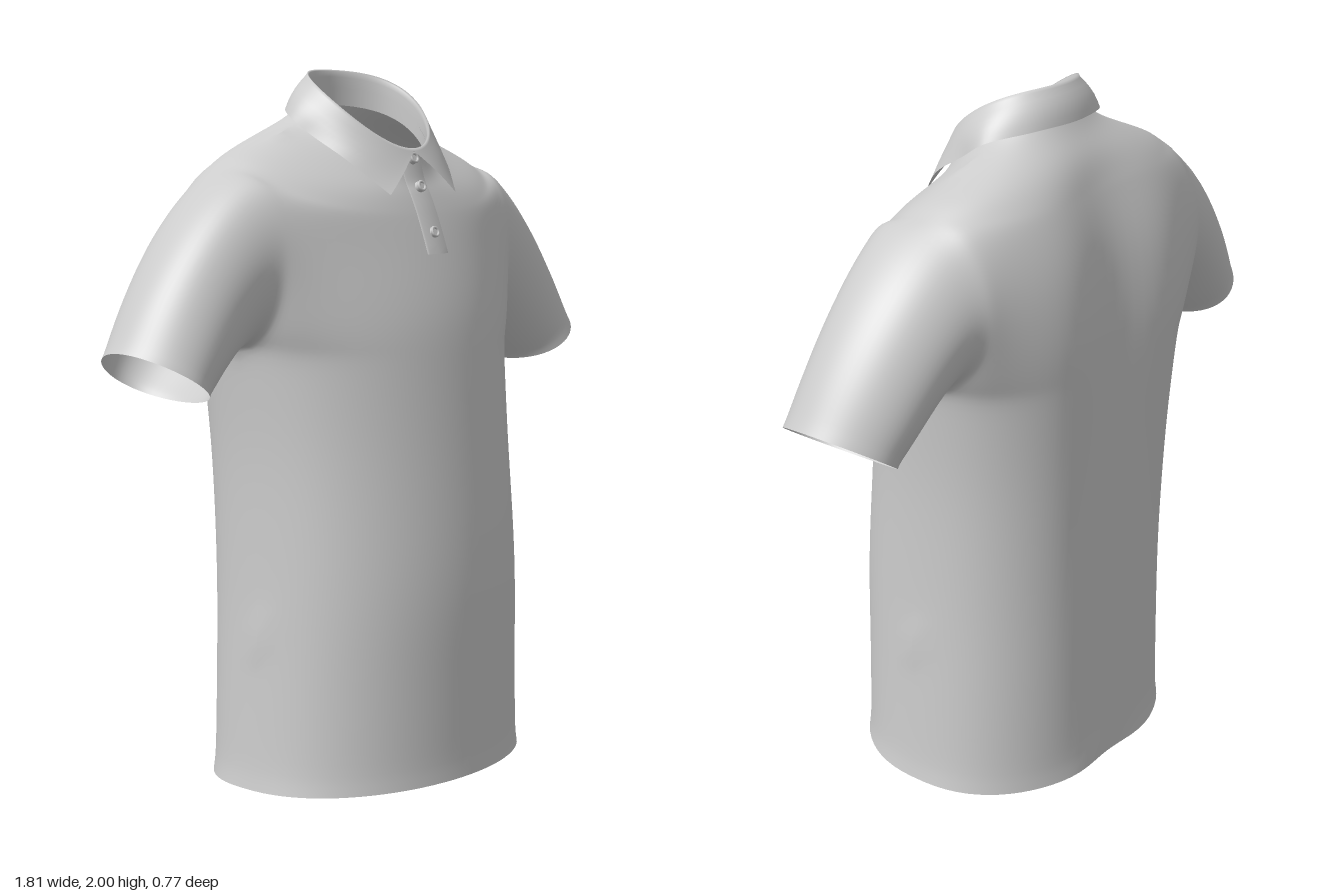
import * as THREE from 'three';
import { mergeGeometries, mergeVertices } from 'three/addons/utils/BufferGeometryUtils.js';

const V = (x, y, z) => new THREE.Vector3(x, y, z);
const cloth = new THREE.MeshStandardMaterial({ color: 0xcccccc, side: THREE.DoubleSide });

// Torso sections from hem to neck:
// side y, half width, side z, front y, front z, back y, back z, depth of the spine fold
const SECTIONS = [
  [0.015, 0.485, 0, 0.03, 0.387, 0, -0.385, 0.03],
  [0.3, 0.472, 0, 0.3, 0.39, 0.3, -0.387, 0.04],
  [0.6, 0.462, 0, 0.6, 0.392, 0.6, -0.393, 0.05],
  [0.95, 0.462, -0.02, 0.95, 0.358, 0.95, -0.408, 0.07],
  [1.25, 0.485, -0.05, 1.22, 0.325, 1.25, -0.422, 0.085],
  [1.42, 0.48, -0.07, 1.36, 0.298, 1.42, -0.418, 0.085],
  [1.58, 0.482, -0.07, 1.5, 0.253, 1.58, -0.388, 0.075],
  [1.735, 0.49, -0.06, 1.6, 0.215, 1.73, -0.322, 0.05],
  [1.785, 0.385, -0.06, 1.655, 0.19, 1.81, -0.268, 0.02],
  [1.845, 0.235, -0.07, 1.69, 0.172, 1.87, -0.207, 0],
  [1.885, 0.178, -0.03, 1.75, 0.155, 1.925, -0.175, 0],
];
const ARMPIT = 4, SHOULDER = 7, NECK = 10, ARM_ROWS = 28, COLS = 40;

// Smooth interpolation between sections
function section(t) {
  const i = Math.min(Math.floor(t), NECK - 1), f = t - i;
  const at = (k) => SECTIONS[Math.max(0, Math.min(NECK, k))];
  const [a, b, c, d] = [at(i - 1), at(i), at(i + 1), at(i + 2)];
  return b.map((p, k) => p + 0.5 * f * (c[k] - a[k] + f * (2 * a[k] - 5 * p + 4 * c[k] - d[k]
    + f * (3 * (p - c[k]) + d[k] - a[k]))));
}

// Point on the torso: t runs up the sections, phi runs left side, front, right side, back.
// Between armpit and shoulder the front and back part to leave an armhole.
function torsoPoint(t, phi, back) {
  const [ys, w, zs, yf, zf, yb, zb, fold] = section(t);
  const k = THREE.MathUtils.clamp((t - ARMPIT) / (SHOULDER - ARMPIT), 0, 1);
  const gap = 2 * Math.sqrt(k * (1 - k)) * (back ? -0.22 : 0.2);
  const s = Math.abs(Math.sin(phi)), x = w * Math.cos(phi);
  let z = zs + ((back ? zb : zf) - zs) * s ** (back ? 0.8 : 0.9) + gap * (1 - s) ** 2;
  if (back) z += fold * Math.exp(-((x / 0.135) ** 2));
  return V(x, ys + ((back ? yb : yf) - ys) * s, z);
}

// Surface through a grid of points
function grid(rows) {
  const n = rows[0].length, index = [];
  for (let r = 0; r < rows.length - 1; r++) {
    for (let i = 0; i < n - 1; i++) {
      const a = r * n + i, c = a + n;
      index.push(a, c, a + 1, a + 1, c, c + 1);
    }
  }
  const g = new THREE.BufferGeometry().setFromPoints(rows.flat());
  g.setIndex(index);
  return g;
}

// Weld the parts, then soften the seams by drawing each point towards its
// neighbours; points on an open edge stay where they are
function weld(parts, passes = 0) {
  const g = mergeVertices(mergeGeometries(parts), 1e-4);
  const pos = g.attributes.position, index = g.index.array;
  const near = Array.from({ length: pos.count }, () => new Map());
  const link = (a, b) => near[a].set(b, (near[a].get(b) || 0) + 1);
  for (let i = 0; i < index.length; i += 3) {
    for (let e = 0; e < 3; e++) {
      const a = index[i + e], b = index[i + (e + 1) % 3];
      link(a, b);
      link(b, a);
    }
  }
  const free = near.map((m) => [...m.values()].every((count) => count > 1));
  for (let pass = 0; pass < passes; pass++) {
    const old = near.map((_, i) => V().fromBufferAttribute(pos, i));
    near.forEach((m, i) => {
      if (!free[i]) return;
      const mean = V(0, 0, 0);
      for (const j of m.keys()) mean.addScaledVector(old[j], 1 / m.size);
      mean.lerp(old[i], 0.5);
      pos.setXYZ(i, mean.x, mean.y, mean.z);
    });
  }
  g.computeVertexNormals();
  return g;
}

const range = (n, f) => Array.from({ length: n + 1 }, (_, i) => f(i / n));

function shirtGeometry() {
  const armT = range(ARM_ROWS, (u) => ARMPIT + (SHOULDER - ARMPIT) * (1 - Math.cos(Math.PI * u)) / 2);
  const heights = [
    ...range(32, (u) => u * ARMPIT).slice(0, -1),
    ...armT,
    ...range(18, (u) => SHOULDER + u * (NECK - SHOULDER)).slice(1),
  ];
  const panel = (back) => grid(heights.map((t) =>
    range(COLS, (u) => torsoPoint(t, Math.PI * (back ? 1 + u : u), back))));

  // Sleeve: each armhole point runs along a curve to its place on the cuff
  const hole = [
    ...armT.map((t) => torsoPoint(t, 0, false)),
    ...armT.slice(0, -1).reverse().map((t) => torsoPoint(t, 2 * Math.PI, true)),
  ];
  const lines = hole.map((p0, j) => {
    const psi = Math.PI * j / ARM_ROWS, s = Math.sin(psi), c = Math.cos(psi), top = (1 - c) / 2;
    const p1 = V(0.797 - 0.108 * c, 1.193 - 0.0725 * c, -0.048 + 0.17 * s * (1 + 0.15 * c));
    const t0 = V(0.2 + 0.3 * top, -0.05 - 0.19 * top, -0.07 * s);
    const t1 = V(0.17 + 0.09 * top, -0.12 - 0.38 * top, s < 0 ? -0.1 * s : 0);
    return new THREE.CubicBezierCurve3(p0, p0.clone().addScaledVector(t0, 1 / 3),
      p1.clone().addScaledVector(t1, -1 / 3), p1);
  });
  const left = range(24, (u) => lines.map((l) => (u === 0 ? l.v0.clone() : l.getPoint(u))));
  const right = left.map((row) => row.map((p) => V(-p.x, p.y, p.z)).reverse());
  return weld([panel(false), panel(true), grid(left), grid(right)], 12);
}

function collarGeometry() {
  // Lower edge of the leaf from the left tip to the centre back, then mirrored
  const half = [V(0.14, 1.655, 0.203), V(0.21, 1.752, 0.1), V(0.235, 1.82, -0.01),
    V(0.237, 1.868, -0.085), V(0.15, 1.895, -0.175), V(0, 1.9, -0.21)];
  const edge = new THREE.CatmullRomCurve3([
    ...half, ...half.slice(0, -1).reverse().map((p) => V(-p.x, p.y, p.z))]);
  const columns = range(80, (u) => {
    const a = 2 * Math.PI * u, s = Math.sin(a), c = Math.cos(a);
    const rim = (r, dy) => V(0.178 * r * s, 1.93 - 0.11 * c - 0.04 * c * c + dy, -0.003 + 0.163 * r * c);
    const fold = rim(1.035, -0.008), hem = edge.getPoint(u);
    const out = V(s, 0.3, c).normalize();
    const leaf = (f) => fold.clone().lerp(hem, f).addScaledVector(out, 0.007 * Math.sin(Math.PI * f));
    return [rim(0.985, -0.1), rim(0.975, -0.05), rim(0.975, -0.02), rim(0.98, -0.004), rim(1.01, 0), fold,
      leaf(0.2), leaf(0.4), leaf(0.6), leaf(0.8), hem];
  });
  return weld([grid(columns)]);
}

function placketGeometry() {
  // Thin strip on the chest, with its edges turned down to the cloth
  const profile = [[0.04, -0.004], [0.039, 0.004], [0, 0.004], [-0.039, 0.004], [-0.04, -0.004]];
  return weld([grid(range(20, (u) => {
    const t = 5.93 + u * (NECK - 5.93), w = section(t)[1];
    return profile.map(([x, lift]) => torsoPoint(t, Math.acos(x / w), false).add(V(0, 0, lift)));
  }))]);
}

function makeButton(y, z) {
  const button = new THREE.Group();
  button.name = 'button';
  const disc = new THREE.Mesh(new THREE.CylinderGeometry(0.015, 0.016, 0.012, 24), cloth);
  disc.name = 'buttonDisc';
  const rim = new THREE.Mesh(new THREE.TorusGeometry(0.0125, 0.004, 8, 24), cloth);
  rim.name = 'buttonRim';
  rim.rotation.x = Math.PI / 2;
  rim.position.y = 0.006;
  button.add(disc, rim);
  button.position.set(0, y, z);
  button.rotation.x = 1.2;
  return button;
}

export function createModel() {
  const model = new THREE.Group();
  model.name = 'poloShirt';
  const add = (name, geometry) => {
    const mesh = new THREE.Mesh(geometry, cloth);
    mesh.name = name;
    model.add(mesh);
  };
  add('bodyAndSleeves', shirtGeometry());
  add('collar', collarGeometry());
  add('placket', placketGeometry());
  for (const [y, z] of [[1.752, 0.163], [1.675, 0.19], [1.55, 0.239]]) model.add(makeButton(y, z));
  return model;
}
